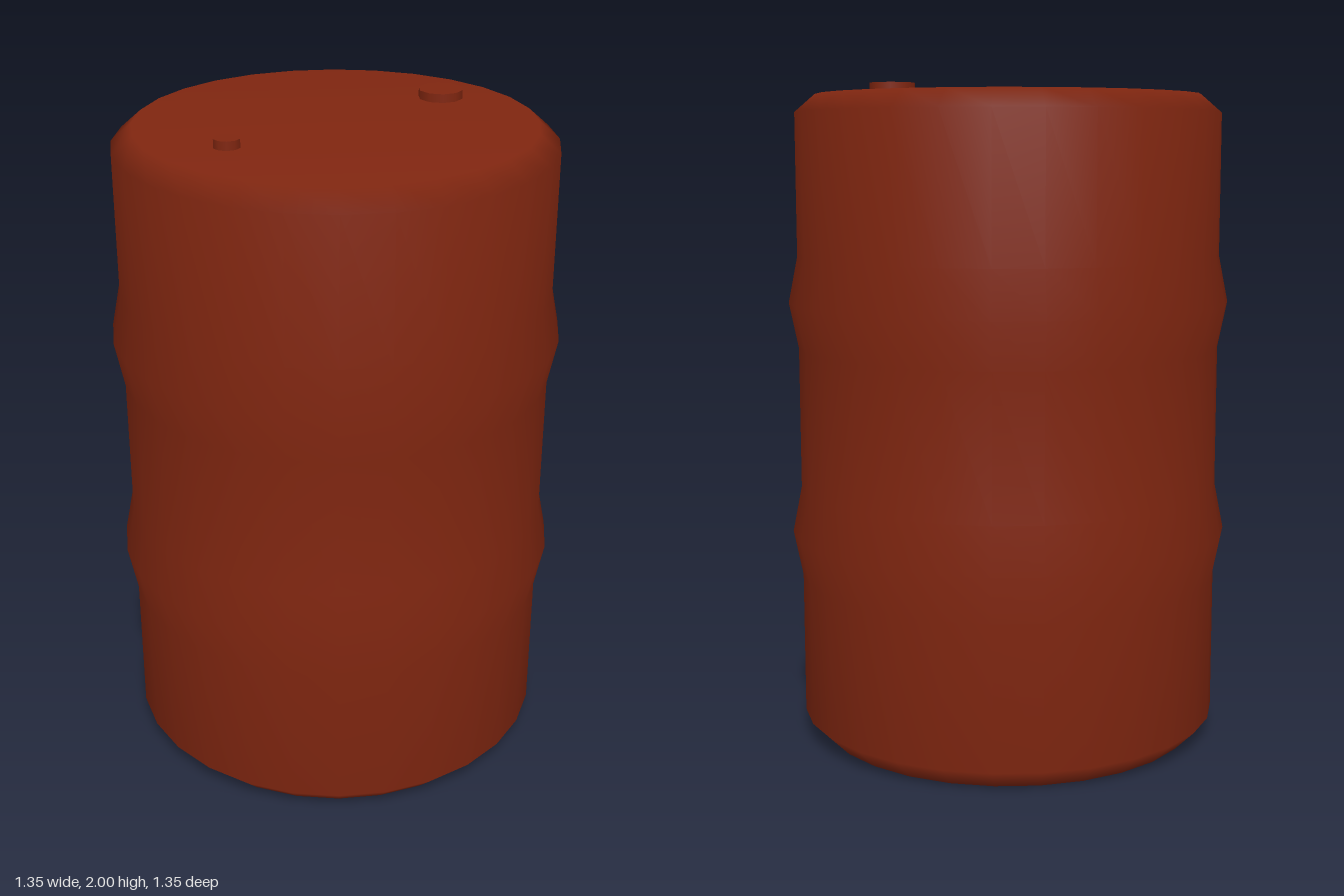
import * as THREE from 'three';

export function createModel() {
  const group = new THREE.Group();
  const rust = new THREE.MeshStandardMaterial({ color: 0x802610 });
  rust.name = 'rustRed';

  // Drum shell: bevelled ends and two raised rolling hoops
  const r = 0.647, hoop = 0.675, rim = 0.585, top = 1.974;
  const profile = [
    [0, 0], [rim, 0], [r, 0.062],
    [r, 0.5], [hoop, 0.64], [r, 0.78],
    [r, 1.21], [hoop, 1.35], [r, 1.49],
    [r, 1.92], [rim, top], [0, top],
  ].map(([x, y]) => new THREE.Vector2(x, y));
  const drum = new THREE.Mesh(new THREE.LatheGeometry(profile, 28), rust);
  drum.name = 'drumBody';
  group.add(drum);

  // Bung caps on the lid
  const addCap = (name, x, radius) => {
    const base = top - 0.01;
    const cap = new THREE.Mesh(new THREE.CylinderGeometry(radius, radius, 2 - base, 10), rust);
    cap.name = name;
    cap.position.set(x, (2 + base) / 2, 0);
    group.add(cap);
  };
  addCap('largeBungCap', 0.408, 0.067);
  addCap('smallVentCap', -0.385, 0.039);

  return group;
}
